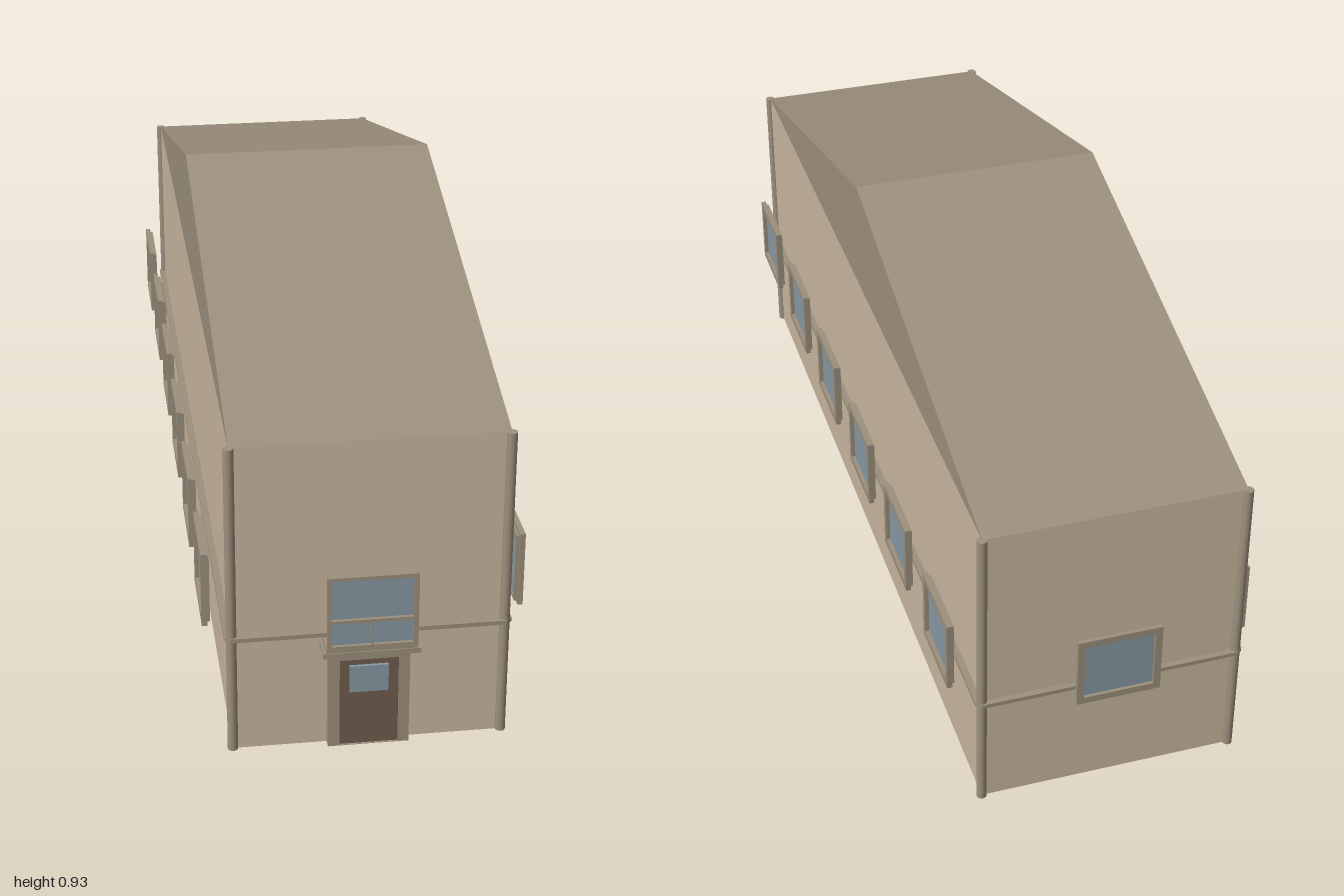
import * as THREE from 'three';

const mat = (color) => new THREE.MeshStandardMaterial({ color });
const WALL = mat(0xc8b79f), TRIM = mat(0x9c8f7d), DOOR = mat(0x715d4d), GLASS = mat(0x8799a4);

// Building shell: half width, half length, eaves and ridge heights
const HX = 0.273, HZ = 0.947, EAVES = 0.676, RIDGE = 0.928, SHIFT = -0.002;

function add(parent, name, geometry, material, x = 0, y = 0, z = 0) {
  const mesh = new THREE.Mesh(geometry, material);
  mesh.name = name;
  mesh.position.set(x, y, z);
  parent.add(mesh);
  return mesh;
}

// Box given by its lower and upper corners
function box(parent, name, material, [x0, y0, z0], [x1, y1, z1]) {
  return add(parent, name, new THREE.BoxGeometry(x1 - x0, y1 - y0, z1 - z0), material,
    (x0 + x1) / 2, (y0 + y1) / 2, (z0 + z1) / 2);
}

function rect(path, x0, y0, x1, y1) {
  return path.moveTo(x0, y0).lineTo(x1, y0).lineTo(x1, y1).lineTo(x0, y1).closePath();
}

// Rectangular frame with one hole per pane, extruded along +z from z = 0
function frameGeometry(w, h, panes, depth) {
  const shape = rect(new THREE.Shape(), -w / 2, -h / 2, w / 2, h / 2);
  for (const p of panes) shape.holes.push(rect(new THREE.Path(), ...p));
  return new THREE.ExtrudeGeometry(shape, { depth, bevelEnabled: false });
}

// Window facing +z: stepped frame with recessed glass, outermost face at z = 0
function makeWindow(name, w, h, panes, depth) {
  const g = new THREE.Group();
  g.name = name;
  const front = depth * 0.65;
  add(g, 'windowFrame', frameGeometry(w, h, panes, front), TRIM, 0, 0, -front);
  add(g, 'windowInnerFrame', frameGeometry(w - 0.012, h - 0.012, panes, depth - front), TRIM, 0, 0, -depth);
  box(g, 'windowGlass', GLASS, [-w / 2 + 0.008, -h / 2 + 0.008, -depth * 0.9],
    [w / 2 - 0.008, h / 2 - 0.008, -depth * 0.5]);
  return g;
}

export function createModel() {
  const model = new THREE.Group();
  model.name = 'house';
  const shell = new THREE.Group();
  shell.name = 'shell';
  shell.position.z = SHIFT;
  model.add(shell);

  // Walls
  box(shell, 'walls', WALL, [-HX, 0, -HZ], [HX, EAVES, HZ]);

  // Roof prism, its ridge running across the building
  const gable = new THREE.Shape().moveTo(-HZ, 0).lineTo(HZ, 0).lineTo(0, RIDGE - EAVES).closePath();
  const roof = new THREE.ExtrudeGeometry(gable, { depth: 2 * HX, bevelEnabled: false });
  roof.translate(0, 0, -HX).rotateY(Math.PI / 2);
  add(shell, 'roof', roof, TRIM, 0, EAVES, 0);

  // Corner posts
  for (const sx of [-1, 1]) {
    for (const sz of [-1, 1]) {
      add(shell, 'cornerPost', new THREE.CylinderGeometry(0.0105, 0.0105, EAVES, 16), TRIM,
        sx * HX, EAVES / 2, sz * HZ);
    }
  }

  // Band around the walls, with cut corners
  const bx = 0.287, bz = 0.96, c = 0.012;
  const bandShape = new THREE.Shape([
    [-bx + c, -bz], [bx - c, -bz], [bx, -bz + c], [bx, bz - c],
    [bx - c, bz], [-bx + c, bz], [-bx, bz - c], [-bx, -bz + c],
  ].map(([x, y]) => new THREE.Vector2(x, y)));
  bandShape.holes.push(rect(new THREE.Path(), -HX + 0.004, -HZ + 0.004, HX - 0.004, HZ - 0.004));
  const band = new THREE.ExtrudeGeometry(bandShape, { depth: 0.009, bevelEnabled: false });
  band.rotateX(-Math.PI / 2);
  add(shell, 'wallBand', band, TRIM, 0, 0.254, 0);

  // Side and back windows, standing off the walls
  const pane = [[-0.074, -0.066, 0.074, 0.066]];
  for (const sx of [-1, 1]) {
    for (let i = 0; i < 6; i++) {
      const win = makeWindow('sideWindow', 0.178, 0.162, pane, 0.017);
      win.position.set(sx * 0.325, 0.33, (i - 2.5) * 0.316);
      win.rotation.y = sx * Math.PI / 2;
      model.add(win);
    }
  }
  const back = makeWindow('backWindow', 0.178, 0.162, pane, 0.014);
  back.position.set(0, 0.33, -1);
  back.rotation.y = Math.PI;
  model.add(back);

  // Front window: one wide pane over two small ones
  const frontPanes = [
    [-0.082, -0.015, 0.08, 0.073],
    [-0.082, -0.073, -0.003, -0.022],
    [0.001, -0.073, 0.08, -0.022],
  ];
  const front = makeWindow('frontWindow', 0.18, 0.162, frontPanes, 0.014);
  front.position.set(0, 0.329, 1);
  model.add(front);
  box(front, 'windowTransom', TRIM, [-0.092, -0.021, -0.01], [0.091, -0.016, 0]);

  // Canopy above the door
  box(model, 'canopyLower', TRIM, [-0.098, 0.23, 0.94], [0.096, 0.241, 1]);
  box(model, 'canopyUpper', TRIM, [-0.092, 0.241, 0.94], [0.09, 0.249, 0.998]);

  // Door in its surround
  const surround = rect(new THREE.Shape(), -0.083, 0, 0.081, 0.23);
  surround.holes.push(rect(new THREE.Path(), -0.06, 0.001, 0.059, 0.2));
  add(model, 'doorSurround', new THREE.ExtrudeGeometry(surround, { depth: 0.022, bevelEnabled: false }),
    TRIM, 0, 0, 0.942);
  box(model, 'door', DOOR, [-0.061, 0, 0.94], [0.06, 0.201, 0.96]);
  box(model, 'doorGlass', GLASS, [-0.04, 0.126, 0.95], [0.038, 0.186, 0.966]);

  return model;
}
